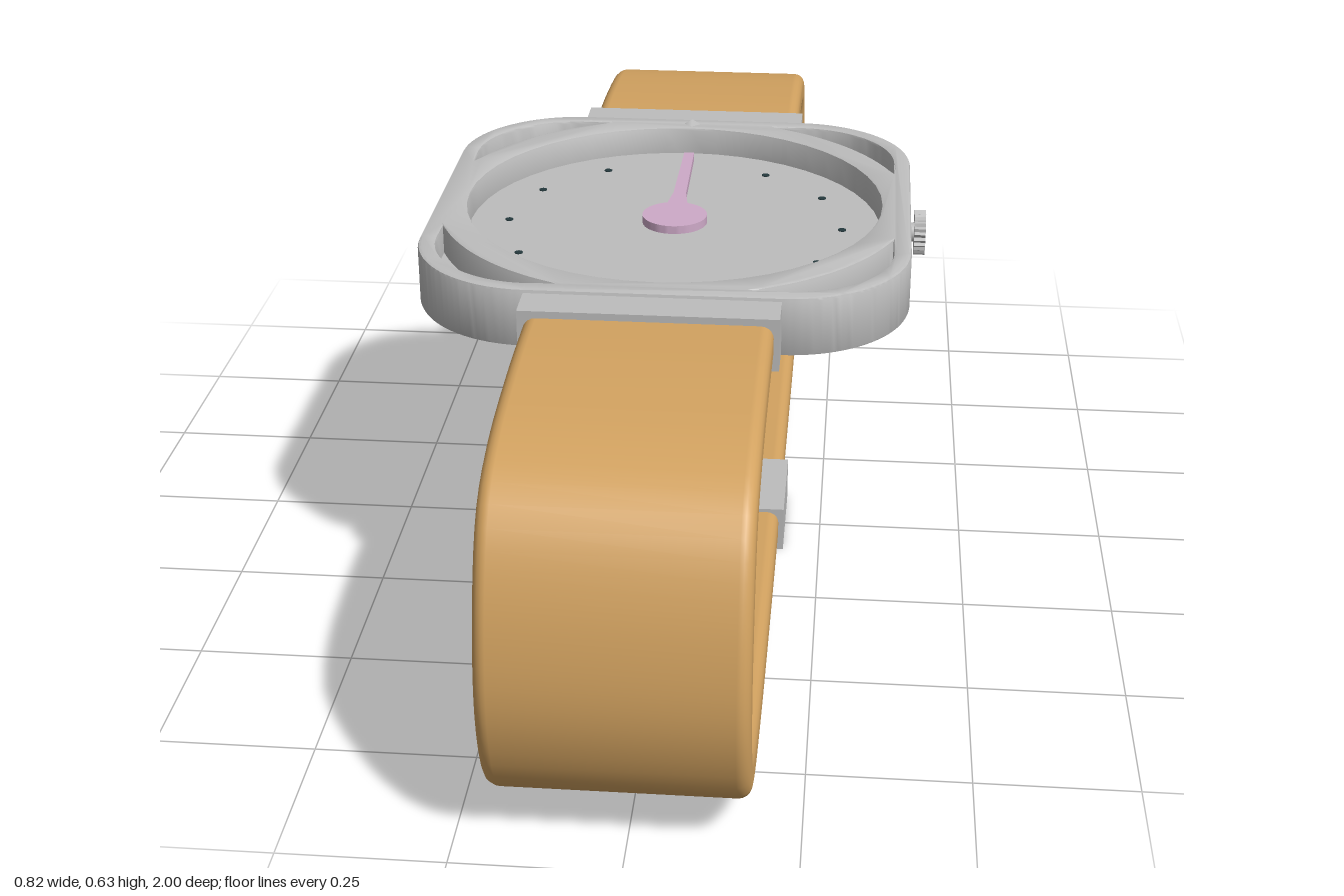
import * as THREE from 'three';
import { toCreasedNormals } from 'three/addons/utils/BufferGeometryUtils.js';

const CX = -0.013; // centre line of case and strap

const steel = new THREE.MeshStandardMaterial({ color: 0xbdbdbd });
steel.name = 'steel';
const leather = new THREE.MeshStandardMaterial({ color: 0xd2a260 });
leather.name = 'tan leather';
const pink = new THREE.MeshStandardMaterial({ color: 0xceaac8 });
pink.name = 'pale pink';
const dark = new THREE.MeshStandardMaterial({ color: 0x24383c });
dark.name = 'dark teal';

function part(parent, name, geometry, material, x = 0, y = 0, z = 0) {
  const mesh = new THREE.Mesh(geometry, material);
  mesh.name = name;
  mesh.position.set(x, y, z);
  parent.add(mesh);
  return mesh;
}

function roundedSquare(h, r) {
  const s = new THREE.Shape();
  const c = h - r;
  s.absarc(c, c, r, 0, Math.PI / 2);
  s.absarc(-c, c, r, Math.PI / 2, Math.PI);
  s.absarc(-c, -c, r, Math.PI, Math.PI * 1.5);
  s.absarc(c, -c, r, Math.PI * 1.5, Math.PI * 2);
  s.closePath();
  return s;
}

// Extrudes a plan shape upwards from y = 0
function slab(shape, height, bevel = 0) {
  const g = new THREE.ExtrudeGeometry(shape, {
    depth: height - 2 * bevel, curveSegments: 24, bevelEnabled: bevel > 0,
    bevelSize: bevel, bevelThickness: bevel, bevelOffset: -bevel, bevelSegments: 2,
  });
  g.translate(0, 0, bevel);
  g.rotateX(-Math.PI / 2);
  return toCreasedNormals(g, 0.6);
}

// Crescent opening between the round dial rim and the case corner
function cornerSlot(quarter) {
  const inner = 0.4, edge = 0.37, r = 0.17, c = edge - r;
  const a = Math.acos(edge / inner);
  const pts = [];
  for (let i = 0; i <= 20; i++) {
    const t = (i / 20) * Math.PI / 2;
    pts.push(new THREE.Vector2(c + r * Math.cos(t), c + r * Math.sin(t)));
  }
  for (let i = 0; i <= 20; i++) {
    const t = Math.PI / 2 - a - (i / 20) * (Math.PI / 2 - 2 * a);
    pts.push(new THREE.Vector2(inner * Math.cos(t), inner * Math.sin(t)));
  }
  const origin = new THREE.Vector2();
  return new THREE.Path(pts.map(p => p.rotateAround(origin, quarter * Math.PI / 2)));
}

// Strap: a rounded rectangle swept along a loop in the yz plane
function strapGeometry() {
  const half = [[0.43, 0.576], [0.62, 0.572], [0.8, 0.55], [0.89, 0.51], [0.94, 0.42],
    [0.967, 0.28], [0.955, 0.19], [0.92, 0.12], [0.85, 0.08], [0.65, 0.052], [0.35, 0.043]];
  const path = [...half, [0, 0.042], ...half.slice().reverse().map(([z, y]) => [-z, y])];
  const curve = new THREE.CatmullRomCurve3(path.map(([z, y]) => new THREE.Vector3(0, y, z)), false, 'centripetal');
  const W = 0.191, T = 0.032, R = 0.02, steps = 140, section = [];
  for (let q = 0; q < 4; q++) {
    const sx = q === 0 || q === 3 ? 1 : -1, sy = q < 2 ? 1 : -1;
    for (let i = 0; i <= 5; i++) {
      const t = (q + i / 5) * Math.PI / 2;
      section.push([sx * (W - R) + R * Math.cos(t), sy * (T - R) + R * Math.sin(t)]);
    }
  }
  const n = section.length, pos = [], idx = [];
  for (let i = 0; i <= steps; i++) {
    const p = curve.getPointAt(i / steps), d = curve.getTangentAt(i / steps);
    // outward normal in the yz plane
    for (const [u, v] of section) pos.push(CX + u, p.y + v * d.z, p.z - v * d.y);
  }
  for (let i = 0; i < steps; i++) {
    for (let j = 0; j < n; j++) {
      const a = i * n + j, b = i * n + (j + 1) % n;
      idx.push(a, a + n, b, b, a + n, b + n);
    }
  }
  const g = new THREE.BufferGeometry();
  g.setAttribute('position', new THREE.Float32BufferAttribute(pos, 3));
  g.setIndex(idx);
  g.computeVertexNormals();
  return g;
}

export function createModel() {
  const model = new THREE.Group();
  model.name = 'wristWatch';

  // Strap and clasp
  const strapMat = leather;
  strapMat.side = THREE.DoubleSide;
  part(model, 'strap', strapGeometry(), strapMat);
  part(model, 'clasp', new THREE.BoxGeometry(0.4, 0.08, 0.186), steel, CX, 0.04, 0);

  // Case frame with dial opening and corner slots
  const frame = roundedSquare(0.399, 0.2);
  const dialHole = new THREE.Path();
  dialHole.absarc(0, 0, 0.35, 0, Math.PI * 2, true);
  frame.holes.push(dialHole);
  for (let q = 0; q < 4; q++) frame.holes.push(cornerSlot(q));
  part(model, 'caseFrame', slab(frame, 0.098, 0.005), steel, CX, 0.527, 0);
  part(model, 'caseFloor', slab(roundedSquare(0.392, 0.193), 0.05), steel, CX, 0.526, 0);

  // Lugs
  for (const s of [1, -1]) {
    part(model, 'lug', new THREE.BoxGeometry(0.4, 0.086, 0.085), steel, CX, 0.576, s * 0.4225);
  }

  // Pointer mark on the rim at twelve
  const mark = new THREE.ConeGeometry(0.02, 0.012, 4);
  part(model, 'rimMark', mark, steel, CX, 0.628, -0.373);

  // Hour dots
  for (let i = 0; i < 12; i++) {
    const a = i * Math.PI / 6;
    part(model, 'hourDot', new THREE.CylinderGeometry(0.007, 0.007, 0.002, 10), dark,
      CX + 0.285 * Math.sin(a), 0.5765, -0.285 * Math.cos(a));
  }

  // Hand: round hub with a tapering pointer towards twelve
  const hand = new THREE.Shape();
  const a0 = 0.32;
  hand.absarc(0, 0, 0.055, Math.PI / 2 + a0, Math.PI * 2.5 - a0);
  hand.lineTo(0.011, 0.1);
  hand.lineTo(0.009, 0.3);
  hand.lineTo(-0.009, 0.3);
  hand.lineTo(-0.011, 0.1);
  hand.closePath();
  part(model, 'hand', slab(hand, 0.014), pink, CX, 0.582, 0);
  part(model, 'handPin', new THREE.CylinderGeometry(0.012, 0.012, 0.012, 16), pink, CX, 0.58, 0);

  // Crown: stem and knurled knob
  const crown = new THREE.Group();
  crown.name = 'crown';
  crown.position.set(0.385, 0.577, 0);
  crown.rotation.z = -Math.PI / 2;
  const stem = new THREE.CylinderGeometry(0.016, 0.016, 0.02, 16);
  part(crown, 'crownStem', stem, steel, 0, 0.004, 0);
  const knurl = new THREE.Shape();
  for (let i = 0; i < 48; i++) {
    const r = i % 2 ? 0.035 : 0.038, t = (i / 48) * Math.PI * 2;
    knurl[i ? 'lineTo' : 'moveTo'](r * Math.cos(t), r * Math.sin(t));
  }
  knurl.closePath();
  part(crown, 'crownKnob', slab(knurl, 0.019), steel, 0, 0.008, 0);
  model.add(crown);

  return model;
}
